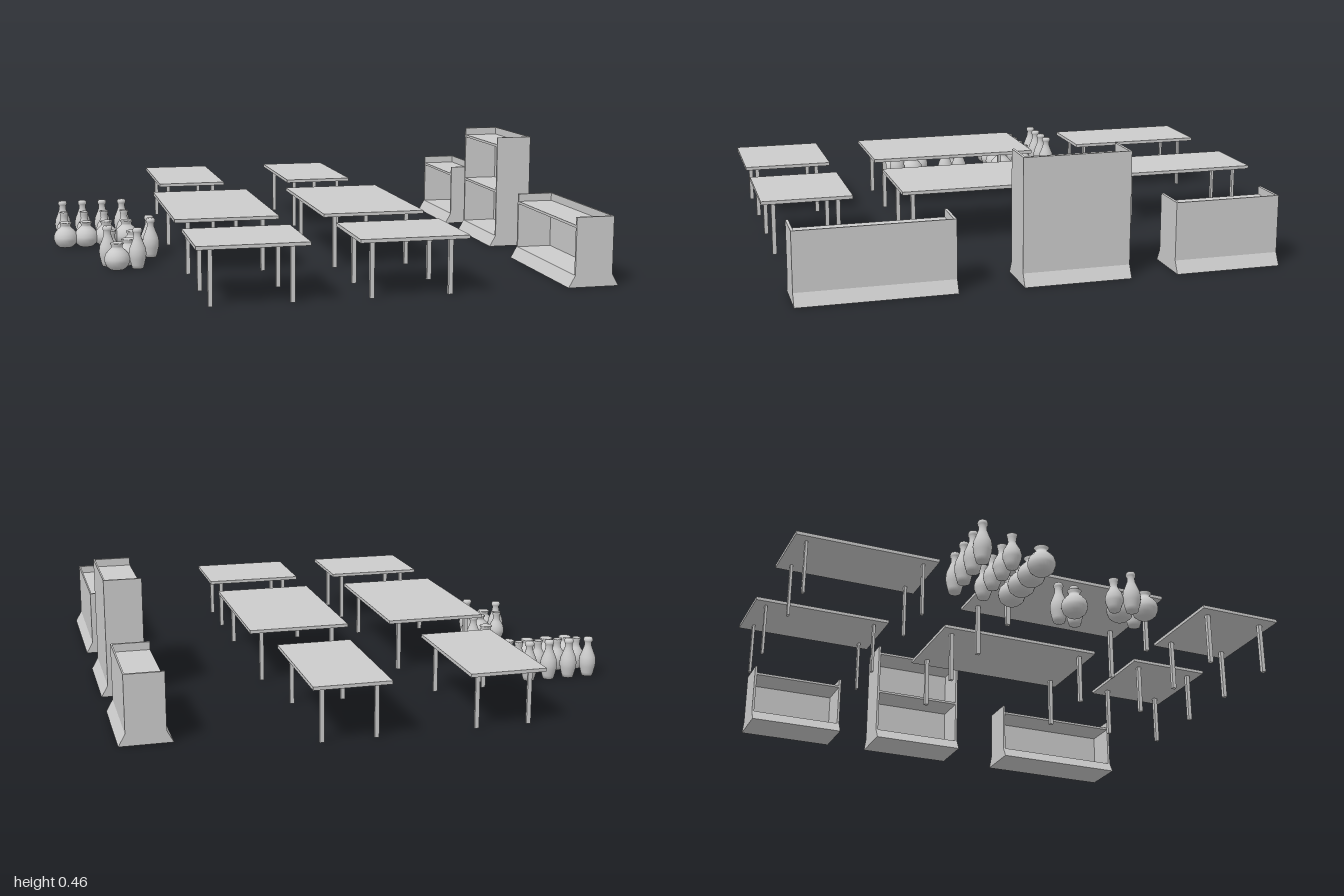
import * as THREE from 'three';

const material = new THREE.MeshStandardMaterial({ color: 0xcccccc });
const smoothBoth = new THREE.MeshStandardMaterial({ color: 0xcccccc, side: THREE.DoubleSide });

function addMesh(parent, name, geometry, x = 0, y = 0, z = 0, mat = material) {
  const mesh = new THREE.Mesh(geometry, mat);
  mesh.name = name;
  mesh.position.set(x, y, z);
  parent.add(mesh);
  return mesh;
}

// Box given by its minimum and maximum corners
function addBox(parent, name, [x0, y0, z0], [x1, y1, z1]) {
  addMesh(parent, name, new THREE.BoxGeometry(x1 - x0, y1 - y0, z1 - z0),
    (x0 + x1) / 2, (y0 + y1) / 2, (z0 + z1) / 2);
}

// Table: thin top on four slim square legs
function makeTable([x0, x1, z0, z1], inset, legDepth) {
  const table = new THREE.Group();
  table.name = 'table';
  table.position.set((x0 + x1) / 2, 0, (z0 + z1) / 2);
  const w = x1 - x0, d = z1 - z0, top = 0.22, thick = 0.013;
  addMesh(table, 'tableTop', new THREE.BoxGeometry(w, thick, d), 0, top - thick / 2, 0);
  const h = top - thick;
  for (const sx of [-1, 1]) {
    for (const sz of [-1, 1]) {
      addMesh(table, 'tableLeg', new THREE.BoxGeometry(0.016, h, legDepth),
        sx * (w / 2 - inset), h / 2, sz * (d / 2 - 0.05));
    }
  }
  return table;
}

// Shelf unit: flared plinth, end panels and back, open towards -x
function makeShelfUnit(z0, z1, height, levels) {
  const unit = new THREE.Group();
  unit.name = 'shelfUnit';
  const xf = 0.82, xb = 0.965, base = 0.045, t = 0.01, rim = 0.03;
  const plinthShape = new THREE.Shape([[0.795, 0], [0.99, 0], [xb, base], [xf, base]]
    .map(([x, y]) => new THREE.Vector2(x, y)));
  addMesh(unit, 'plinth',
    new THREE.ExtrudeGeometry(plinthShape, { depth: z1 - z0, bevelEnabled: false }), 0, 0, z0);
  addBox(unit, 'endPanel', [xf, base, z0], [xb, height, z0 + t]);
  addBox(unit, 'endPanel', [xf, base, z1 - t], [xb, height, z1]);
  addBox(unit, 'backPanel', [xb - 0.006, base, z0 + t], [xb, height, z1 - t]);
  // Boards: the top one sits below the raised rim
  const topY = height - rim;
  for (let i = 1; i <= levels; i++) {
    const y = base + (topY - base) * i / levels;
    addBox(unit, 'shelfBoard', [xf, y - t, z0 + t], [xb - 0.006, y, z1 - t]);
  }
  return unit;
}

// Turned vessels, as radius and height pairs
const profiles = {
  tallBottle: [[0, 0], [0.022, 0], [0.026, 0.015], [0.032, 0.04], [0.034, 0.058], [0.031, 0.08],
    [0.021, 0.105], [0.015, 0.122], [0.014, 0.138], [0.018, 0.143], [0.019, 0.15], [0.016, 0.158], [0, 0.16]],
  shortBottle: [[0, 0], [0.02, 0], [0.026, 0.016], [0.033, 0.036], [0.034, 0.05], [0.029, 0.07],
    [0.018, 0.088], [0.014, 0.1], [0.016, 0.115], [0.019, 0.128], [0.016, 0.128], [0.011, 0.1], [0, 0.09]],
  roundVase: [[0, 0], [0.028, 0], [0.042, 0.012], [0.049, 0.03], [0.05, 0.042], [0.045, 0.06],
    [0.033, 0.074], [0.022, 0.084], [0.021, 0.092], [0.027, 0.101], [0.023, 0.104], [0, 0.104]],
};

export function createModel() {
  const model = new THREE.Group();
  model.name = 'marketFurniture';

  // Tables: two narrow at the back, two large in the middle, two short in front
  for (const x of [-0.52, 0.055]) {
    model.add(makeTable([x, x + 0.286, -1, -0.45], 0.043, 0.01));
  }
  for (const x of [-0.575, 0]) {
    model.add(makeTable([x, x + 0.4, -0.225, 0.465], 0.055, 0.016));
    model.add(makeTable([x, x + 0.4, 0.655, 1], 0.055, 0.016));
  }

  // Row of shelf units
  model.add(makeShelfUnit(-0.815, -0.415, 0.26, 1));
  model.add(makeShelfUnit(-0.24, 0.157, 0.46, 2));
  model.add(makeShelfUnit(0.393, 0.96, 0.26, 1));

  // Vessels: three ordered rows, then two loose clusters
  const places = { tallBottle: [], shortBottle: [], roundVase: [] };
  for (const x of [-0.945, -0.86, -0.775, -0.69]) {
    places.tallBottle.push([x, -0.455]);
    places.shortBottle.push([x, -0.345]);
    places.roundVase.push([x, -0.233]);
  }
  places.roundVase.push([-0.69, 0.02], [-0.725, 0.19], [-0.775, 0.267]);
  places.tallBottle.push([-0.62, -0.01], [-0.62, 0.055], [-0.805, 0.197], [-0.695, 0.265]);
  places.shortBottle.push([-0.785, 0.135]);
  for (const [name, spots] of Object.entries(places)) {
    const geometry = new THREE.LatheGeometry(
      profiles[name].map(([r, y]) => new THREE.Vector2(r, y)), 24);
    for (const [x, z] of spots) addMesh(model, name, geometry, x, 0, z, smoothBoth);
  }
  return model;
}
